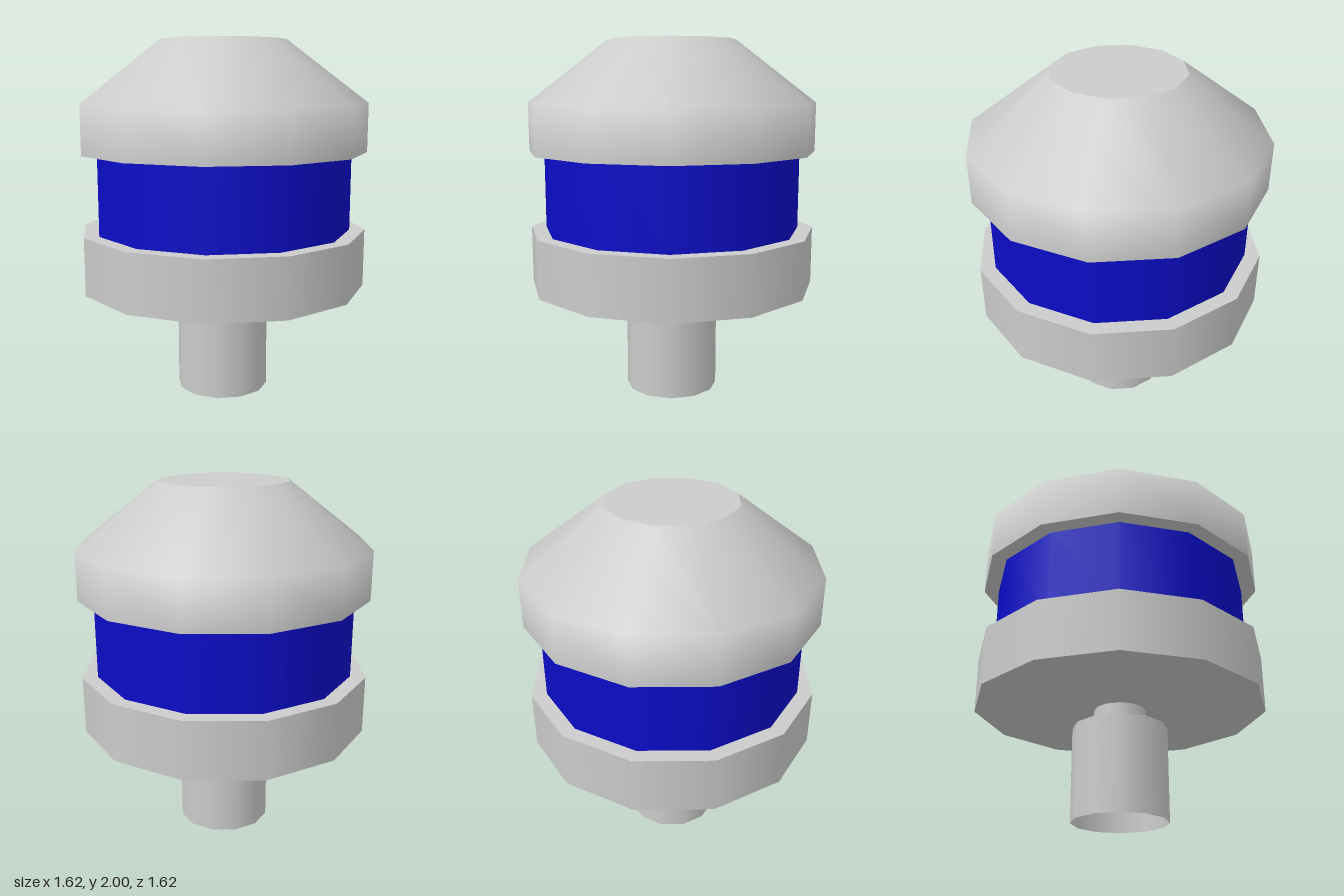
import * as THREE from 'three';
import { mergeGeometries } from 'three/addons/utils/BufferGeometryUtils.js';

const SIDES = 12;

// Each run of [radius, height] points is smooth; edges between runs stay sharp.
function turned(name, material, ...runs) {
  const parts = runs.map(run =>
    new THREE.LatheGeometry(run.map(([r, y]) => new THREE.Vector2(r, y)), SIDES));
  const mesh = new THREE.Mesh(mergeGeometries(parts), material);
  mesh.name = name;
  return mesh;
}

export function createModel() {
  const grey = new THREE.MeshStandardMaterial({ color: 0xcccccc });
  const greyOpen = new THREE.MeshStandardMaterial({ color: 0xcccccc, side: THREE.DoubleSide });
  const blue = new THREE.MeshStandardMaterial({ color: 0x0c0cc8 });

  const model = new THREE.Group();
  model.name = 'beacon';
  model.add(
    // Hollow socket, open at the bottom, with a shoulder around the neck
    turned('socket', greyOpen,
      [[0.262, 0], [0.262, 0.515]],
      [[0.262, 0.515], [0.145, 0.515]]),
    turned('neck', greyOpen, [[0.145, 0.515], [0.145, 0.62]]),
    // Base disc
    turned('base', grey,
      [[0, 0.62], [0.812, 0.62]],
      [[0.812, 0.62], [0.812, 0.943]],
      [[0.812, 0.943], [0, 0.943]]),
    // Coloured band between base and cap
    turned('band', blue, [[0.727, 0.943], [0.727, 1.384]]),
    // Cap: side wall blends smoothly into the sloped roof
    turned('cap', grey,
      [[0, 1.384], [0.812, 1.384]],
      [[0.812, 1.384], [0.812, 1.655], [0.358, 2]],
      [[0.358, 2], [0, 2]]),
  );
  return model;
}
